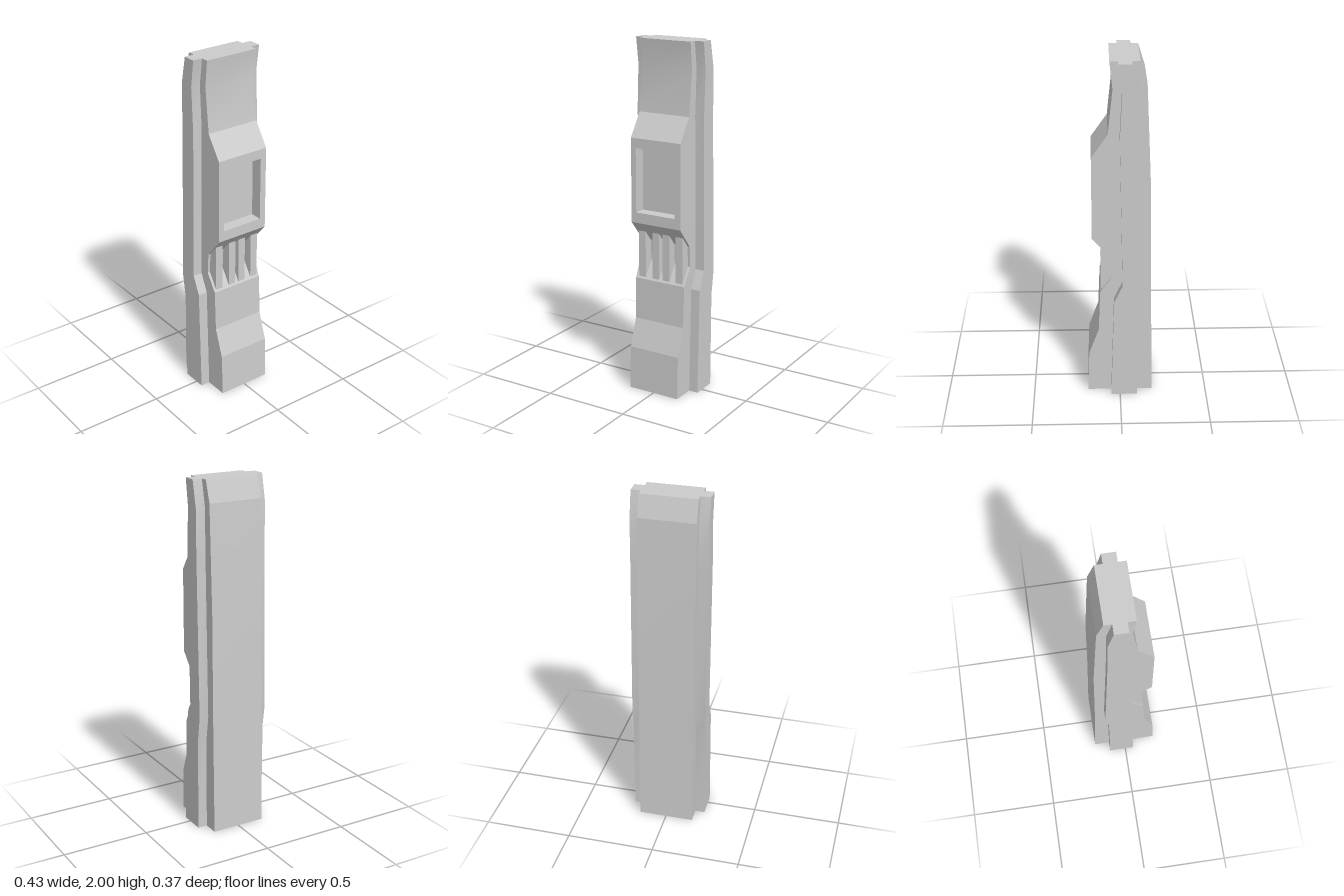
import * as THREE from 'three';
import { toCreasedNormals } from 'three/addons/utils/BufferGeometryUtils.js';

const BODY = 0.158, RAIL = 0.213;

// Side outlines as [z, y]; fronts run upward, backs run downward
const bodyFront = [[0.186, 0], [0.177, 0.25], [0.121, 0.41], [0.112, 0.65], [0.046, 0.75], [0.053, 0.87],
  [0.155, 0.99], [0.155, 1.47], [0.065, 1.6], [0.039, 1.85], [0.055, 2]];
const bodyBack = [[-0.105, 2], [-0.142, 1.88], [-0.168, 1.27], [-0.175, 0.65], [-0.187, 0]];
const railFront = [[0.051, 0], [0.034, 0.615], [-0.014, 0.72], [0.002, 1.6], [-0.01, 1.85], [0.011, 2]];
const railBack = [[-0.063, 2], [-0.095, 1.85], [-0.097, 1.6], [-0.12, 0.68], [-0.1, 0.55], [-0.097, 0]];
const FACE = 6; // edge of bodyFront that carries the window

// Quads spanning x0..x1 along the edges of a [z, y] outline
function band(out, outline, x0, x1, keep = () => true) {
  outline.forEach(([za, ya], i) => {
    if (!keep(i)) return;
    const [zb, yb] = outline[(i + 1) % outline.length];
    out.push(x0, ya, za, x1, ya, za, x1, yb, zb, x0, ya, za, x1, yb, zb, x0, yb, zb);
  });
}

// Flat side at x whose normal points along side (+1 or -1)
function cap(out, outline, x, side) {
  const pts = outline.map(([z, y]) => new THREE.Vector2(z, y));
  for (const [a, b, c] of THREE.ShapeUtils.triangulateShape(pts, [])) {
    const A = pts[a], B = pts[b], C = pts[c];
    const nx = (B.y - A.y) * (C.x - A.x) - (B.x - A.x) * (C.y - A.y);
    for (const p of nx * side > 0 ? [A, B, C] : [A, C, B]) out.push(x, p.y, p.x);
  }
}

export function createModel() {
  const group = new THREE.Group();
  const material = new THREE.MeshStandardMaterial({ color: 0xcccccc });
  const add = (name, positions) => {
    const g = new THREE.BufferGeometry();
    g.setAttribute('position', new THREE.Float32BufferAttribute(positions, 3));
    const mesh = new THREE.Mesh(toCreasedNormals(g, 0.22), material);
    mesh.name = name;
    group.add(mesh);
  };

  // Main body, its sides left open where the rails join
  const body = [];
  band(body, [...bodyFront, ...bodyBack], -BODY, BODY, (i) => i !== FACE);
  for (const s of [-1, 1]) {
    cap(body, [...bodyFront, ...[...railFront].reverse()], s * BODY, s);
    cap(body, [...bodyBack, ...[...railBack].reverse()], s * BODY, s);
  }
  add('body', body);

  // Front panel with a rectangular window
  const wx0 = -0.127, wx1 = 0.122, wy0 = 1.05, wy1 = 1.415, depth = 0.07;
  const [zFace, yLow] = bodyFront[FACE], yHigh = bodyFront[FACE + 1][1];
  const rect = (path, x0, y0, x1, y1) => path.moveTo(x0, y0).lineTo(x1, y0).lineTo(x1, y1).lineTo(x0, y1).closePath();
  const shape = rect(new THREE.Shape(), -BODY, yLow, BODY, yHigh);
  shape.holes.push(rect(new THREE.Path(), wx0, wy0, wx1, wy1));
  const panel = new THREE.Mesh(new THREE.ShapeGeometry(shape), material);
  panel.name = 'frontPanel';
  panel.position.z = zFace;
  group.add(panel);

  // Recess behind the window: sill, floor, lintel and two jambs
  const recess = [];
  const zFloor = zFace - depth;
  const pocket = [[zFace, wy0], [zFloor, wy0], [zFloor, wy1], [zFace, wy1]];
  band(recess, pocket, wx0, wx1, (i) => i < 3);
  cap(recess, pocket, wx0, 1);
  cap(recess, pocket, wx1, -1);
  add('windowRecess', recess);

  // Side rails following the body
  for (const s of [-1, 1]) {
    const rail = [], outline = [...railFront, ...railBack];
    band(rail, outline, s < 0 ? -RAIL : BODY, s < 0 ? -BODY : RAIL);
    cap(rail, outline, s * RAIL, s);
    add(s > 0 ? 'leftRail' : 'rightRail', rail);
  }

  // Four upright slats bridging the groove
  const slat = [[0.105, 0.661], [0.105, 0.931], [0.053, 0.87], [0.046, 0.75]];
  for (const x of [-0.121, -0.032, 0.035, 0.121]) {
    const out = [], h = 0.0225;
    band(out, slat, x - h, x + h, (i) => i === 0);
    for (const s of [-1, 1]) cap(out, slat, x + s * h, s);
    add('slat', out);
  }
  return group;
}
